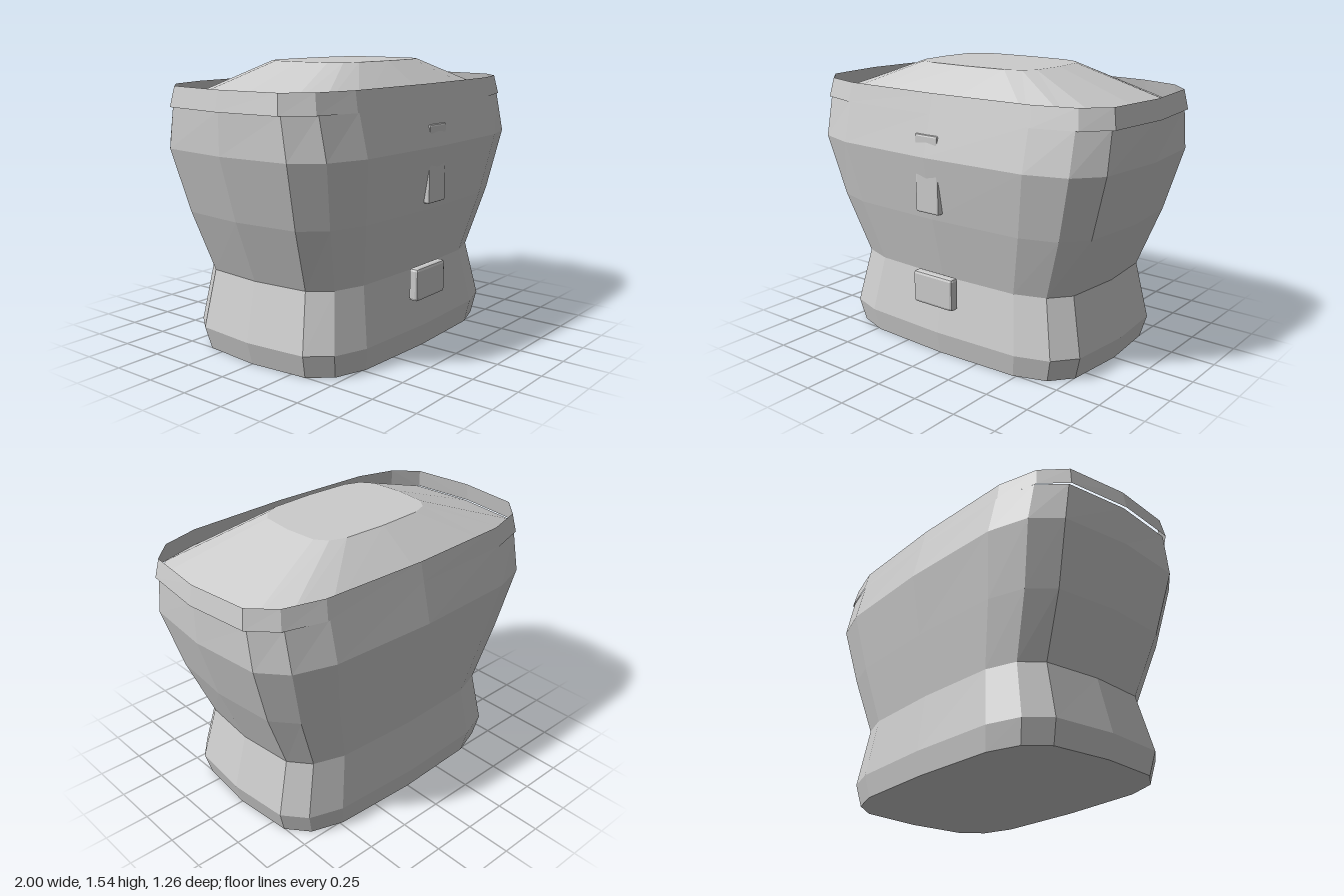
import * as THREE from 'three';
import { RoundedBoxGeometry } from 'three/addons/geometries/RoundedBoxGeometry.js';

// One quarter of the rounded cross-section, from front (+z) to side (+x), unit size
const QUARTER = [[0, 1], [0.615, 0.962], [0.838, 0.85], [0.96, 0.63], [1, 0]];

// Full 16-sided outline, counter-clockwise seen from above
function outline() {
  const q = QUARTER;
  const right = [...q, ...q.slice(0, 4).reverse().map(([x, z]) => [x, -z])];
  const left = right.slice(1, -1).reverse().map(([x, z]) => [-x, z]);
  return [...right, ...left];
}

// Skin through stacked sections given as [y, halfWidth, halfDepth, zOffset]
function loft(sections, capBottom, capTop) {
  const ring = outline();
  const n = ring.length;
  const pos = [];
  const index = [];
  for (const [y, w, d, dz = 0] of sections) {
    for (const [x, z] of ring) pos.push(x * w, y, z * d + dz);
  }
  for (let s = 0; s < sections.length - 1; s++) {
    for (let i = 0; i < n; i++) {
      const a = s * n + i;
      const b = s * n + (i + 1) % n;
      index.push(a, b, b + n, a, b + n, a + n);
    }
  }
  const top = (sections.length - 1) * n;
  for (let i = 1; i < n - 1; i++) {
    if (capBottom) index.push(0, i + 1, i);
    if (capTop) index.push(top, top + i, top + i + 1);
  }
  const g = new THREE.BufferGeometry();
  g.setAttribute('position', new THREE.Float32BufferAttribute(pos, 3));
  g.setIndex(index);
  const flat = g.toNonIndexed();
  flat.computeVertexNormals();
  return flat;
}

export function createModel() {
  const group = new THREE.Group();
  const grey = new THREE.MeshStandardMaterial({ color: 0xcccccc, flatShading: true });
  const thin = new THREE.MeshStandardMaterial({ color: 0xcccccc, flatShading: true, side: THREE.DoubleSide });

  const add = (name, geometry, material = grey) => {
    const mesh = new THREE.Mesh(geometry, material);
    mesh.name = name;
    group.add(mesh);
    return mesh;
  };

  // Torso: flared hem, narrow waist, broad chest
  add('torso', loft([
    [0, 0.785, 0.53],
    [0.125, 0.82, 0.553],
    [0.435, 0.745, 0.505, -0.01],
    [0.77, 0.88, 0.573],
    [1.11, 0.98, 0.631],
    [1.33, 0.98, 0.577],
  ], true, false));

  // Shoulder dome rising to a flat top
  add('shoulderDome', loft([[1.33, 0.98, 0.577], [1.54, 0.395, 0.287]], false, true));

  // Thin open rim around the dome
  add('collarRim', loft([[1.325, 1.0, 0.579], [1.43, 0.98, 0.554]], false, false), thin);

  // Chest strip, partly sunk into the chest
  add('chestStrip', new RoundedBoxGeometry(0.155, 0.415, 0.1, 1, 0.01)).position.set(0, 1.0175, 0.562);

  // Belt buckle
  add('beltBuckle', new RoundedBoxGeometry(0.27, 0.18, 0.056, 1, 0.016)).position.set(0, 0.375, 0.557);

  return group;
}
